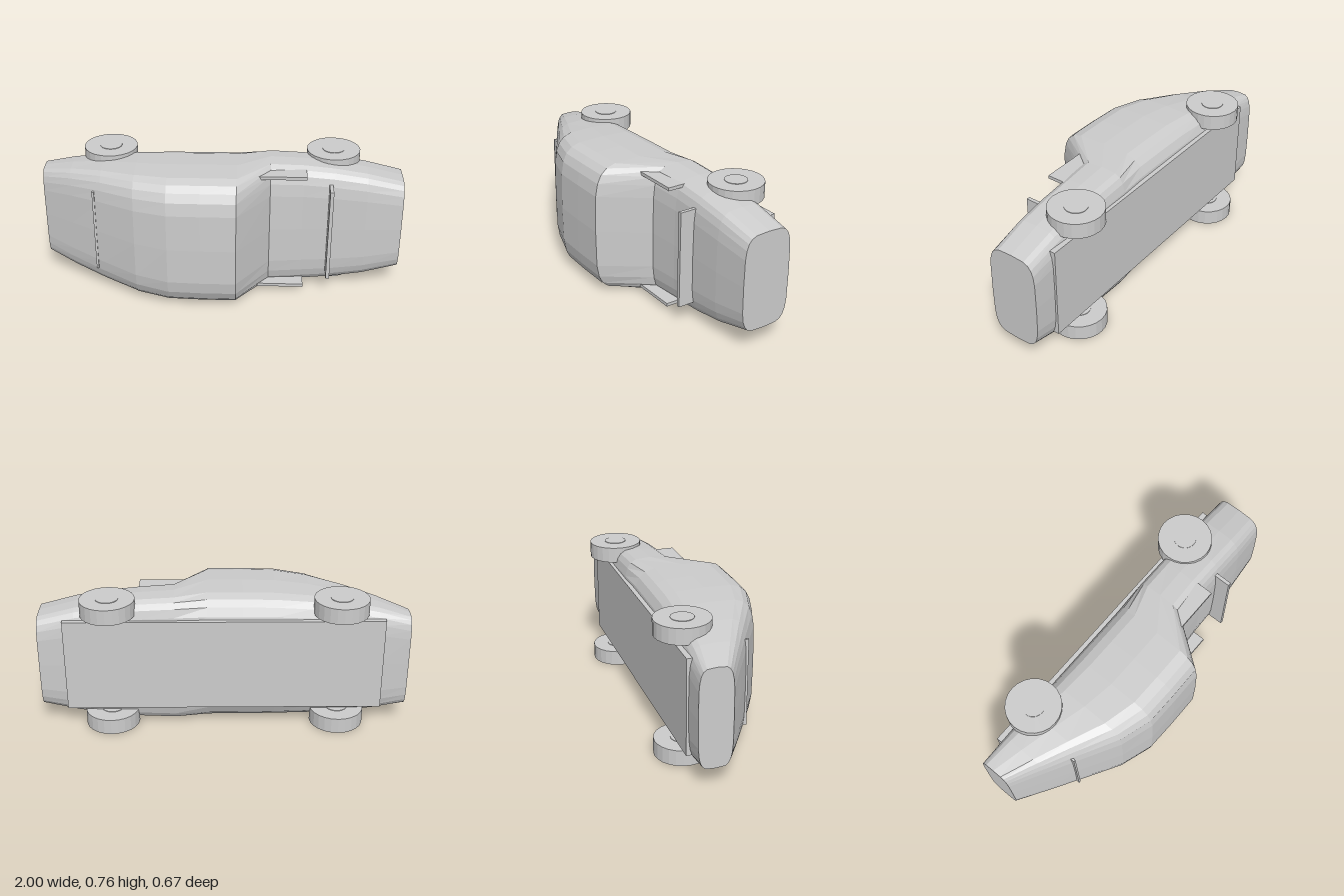
import * as THREE from 'three';

const paint = new THREE.MeshStandardMaterial({ color: 0xcccccc, flatShading: true });
paint.name = 'lightGrey';

const MID = 0.379;      // the car lies on its side, its width runs along y
const FLOOR = -0.235;   // underside of the body along z
const SIDES = 24;

// Length stations: [x, height of the top surface along z]
const PROFILE = [
  [-1, -0.055], [-0.83, 0.047], [-0.65, 0.153], [-0.46, 0.265], [-0.28, 0.325],
  [-0.1, 0.33], [0.09, 0.33], [0.27, 0.08], [0.45, 0.068], [0.62, 0.067],
  [0.8, 0.065], [1, 0.052],
];

const power = (v) => Math.sign(v) * Math.pow(Math.abs(v), 2 / 4.5);

// One rounded-rectangle cross-section of the body
function section([x, top], grow = 0) {
  const halfWidth = 0.378 - 0.11 * Math.pow(Math.abs(x), 2.8) + grow;
  const halfHeight = (top - FLOOR) / 2 + grow;
  const centre = (top + FLOOR) / 2;
  return Array.from({ length: SIDES }, (_, k) => {
    const a = (k / SIDES) * Math.PI * 2;
    return [x, MID + halfWidth * power(Math.cos(a)), centre + halfHeight * power(Math.sin(a))];
  });
}

// Skin a run of cross-sections between two side indices
function loft(rings, from, to, capped) {
  const pos = [];
  const tri = (a, b, c) => pos.push(...a, ...b, ...c);
  for (let i = 0; i < rings.length - 1; i++) {
    const r = rings[i], s = rings[i + 1];
    for (let k = from; k < to; k++) {
      const n = (k + 1) % SIDES;
      tri(r[k], r[n], s[k]);
      tri(s[k], r[n], s[n]);
    }
  }
  if (capped) {
    const first = rings[0], last = rings[rings.length - 1];
    for (let k = 1; k < SIDES - 1; k++) {
      tri(first[0], first[k + 1], first[k]);
      tri(last[0], last[k], last[k + 1]);
    }
  }
  const g = new THREE.BufferGeometry();
  g.setAttribute('position', new THREE.Float32BufferAttribute(pos, 3));
  g.computeVertexNormals();
  return g;
}

export function createModel() {
  const car = new THREE.Group();
  car.name = 'car';
  const add = (name, geometry, x = 0, y = 0, z = 0) => {
    const mesh = new THREE.Mesh(geometry, paint);
    mesh.name = name;
    mesh.position.set(x, y, z);
    car.add(mesh);
  };
  // Box given by its ranges on each axis
  const box = (name, x0, x1, y0, y1, z0, z1) =>
    add(name, new THREE.BoxGeometry(x1 - x0, y1 - y0, z1 - z0),
      (x0 + x1) / 2, (y0 + y1) / 2, (z0 + z1) / 2);

  // Body shell
  add('body', loft(PROFILE.map((p) => section(p)), 0, SIDES, true));

  // Side windows, thin skins just over the cabin sides
  const cabin = PROFILE.slice(3, 7).map((p) => section(p, 0.002));
  add('leftWindow', loft(cabin, 1, 4, false));
  add('rightWindow', loft(cabin, 8, 11, false));

  // Underbody plate and cross bars
  box('underbodyPlate', -0.86, 0.86, 0.118, 0.642, -0.246, -0.215);
  box('hoodBar', 0.59, 0.61, 0.109, 0.65, 0.045, 0.147);
  box('rearBar', -0.696, -0.684, 0.14, 0.62, 0.08, 0.137);

  // Mirrored parts: fender plates, wheels and hubs
  const wheel = new THREE.CylinderGeometry(0.148, 0.148, 0.087, 24);
  const hub = new THREE.CylinderGeometry(0.061, 0.061, 0.093, 24);
  for (const side of [1, -1]) {
    const plateY = MID + side * 0.338;
    box('mirrorPlate', 0.2, 0.465, plateY - 0.009, plateY + 0.009, 0, 0.12);
    for (const x of [-0.625, 0.62]) {
      add('wheel', wheel, x, MID + side * 0.332, -0.188);
      add('hub', hub, x, MID + side * 0.332, -0.188);
    }
  }
  return car;
}
